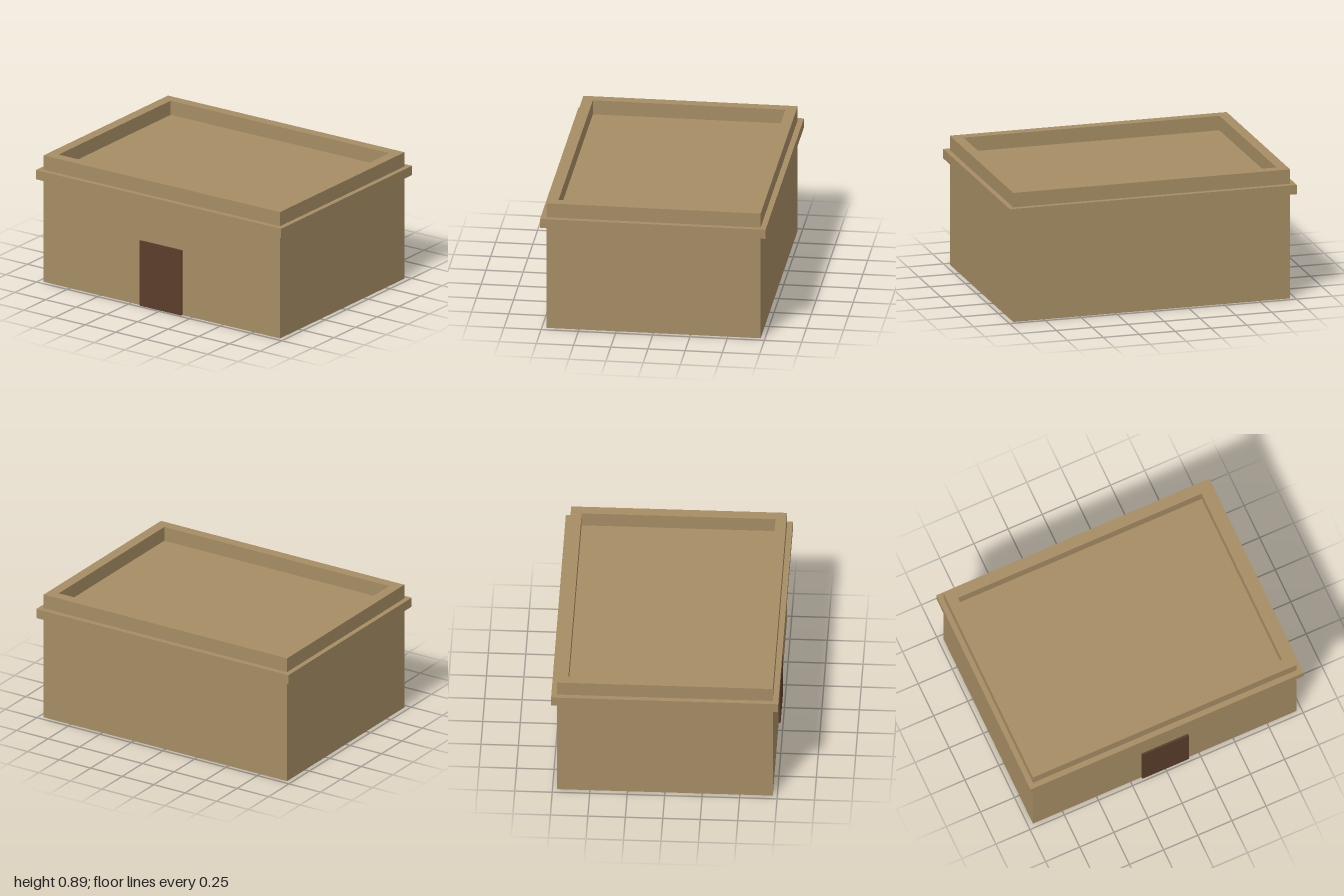
import * as THREE from 'three';

const W = 0.965, D = 0.72;          // outer half width and half depth of the walls
const WALL = 0.14, RIM = 0.073;     // thickness of walls and parapet
const DOOR_W = 0.17, DOOR_H = 0.46; // half width and height of the doorway
const CORNICE_Y = 0.73, ROOF_Y = 0.795, TOP_Y = 0.895;

export function createModel() {
  const clay = new THREE.MeshStandardMaterial({ color: 0xa58d64 });
  clay.name = 'clay';
  const wood = new THREE.MeshStandardMaterial({ color: 0x5a3d2b });
  wood.name = 'darkWood';
  const clayThin = clay.clone();
  clayThin.name = 'clayThin';
  clayThin.side = THREE.DoubleSide;

  const model = new THREE.Group();
  model.name = 'flatRoofHouse';
  const add = (name, geometry, material = clay) => {
    const mesh = new THREE.Mesh(geometry, material);
    mesh.name = name;
    model.add(mesh);
    return mesh;
  };

  // Corners of a rectangle in plan; the front (+z) is at negative plan y
  const rect = (w, d) => [[-w, -d], [w, -d], [w, d], [-w, d]].map(([x, y]) => new THREE.Vector2(x, y));
  const ring = (w, d, t) => {
    const shape = new THREE.Shape(rect(w, d));
    shape.holes.push(new THREE.Path(rect(w - t, d - t).reverse()));
    return shape;
  };
  // Raises a plan shape from y0 to y1
  const raise = (shape, y0, y1) =>
    new THREE.ExtrudeGeometry(shape, { depth: y1 - y0, bevelEnabled: false })
      .rotateX(-Math.PI / 2).translate(0, y0, 0);
  const box = (w, h, d, x, y, z) => new THREE.BoxGeometry(w, h, d).translate(x, y, z);

  // Lower walls: a ring broken by the doorway
  const iw = W - WALL, id = D - WALL;
  const broken = new THREE.Shape([
    [DOOR_W, -D], [W, -D], [W, D], [-W, D], [-W, -D], [-DOOR_W, -D],
    [-DOOR_W, -id], [-iw, -id], [-iw, id], [iw, id], [iw, -id], [DOOR_W, -id],
  ].map(([x, y]) => new THREE.Vector2(x, y)));
  add('lowerWalls', raise(broken, 0, DOOR_H));
  add('upperWalls', raise(ring(W, D, WALL), DOOR_H, CORNICE_Y));

  // Roof slab that overhangs as a cornice, with the parapet on it
  add('roofAndCornice', box(2, ROOF_Y - CORNICE_Y, 1.515, 0, (ROOF_Y + CORNICE_Y) / 2, 0));
  add('parapet', raise(ring(W, D, RIM), ROOF_Y, TOP_Y));

  // Door panel covering the doorway
  add('door', box(DOOR_W * 2, DOOR_H, 0.013, 0, DOOR_H / 2, D + 0.0065), wood);

  // Low bench inside, against the front wall, hollow and open underneath
  const bench = new THREE.Group();
  bench.name = 'bench';
  bench.position.set(-0.58, 0, id - 0.035);
  model.add(bench);
  const bw = 0.29, bh = 0.115, bd = 0.07;
  const panel = (name, w, h, place) => {
    const mesh = new THREE.Mesh(new THREE.PlaneGeometry(w, h), clayThin);
    mesh.name = name;
    place(mesh);
    bench.add(mesh);
  };
  panel('benchTop', bw, bd, (m) => { m.rotation.x = -Math.PI / 2; m.position.y = bh; });
  panel('benchFace', bw, bh, (m) => { m.rotation.y = Math.PI; m.position.set(0, bh / 2, -bd / 2); });
  for (const s of [-1, 1]) {
    panel('benchEnd', bd, bh, (m) => { m.rotation.y = s * Math.PI / 2; m.position.set(s * bw / 2, bh / 2, 0); });
  }
  return model;
}
